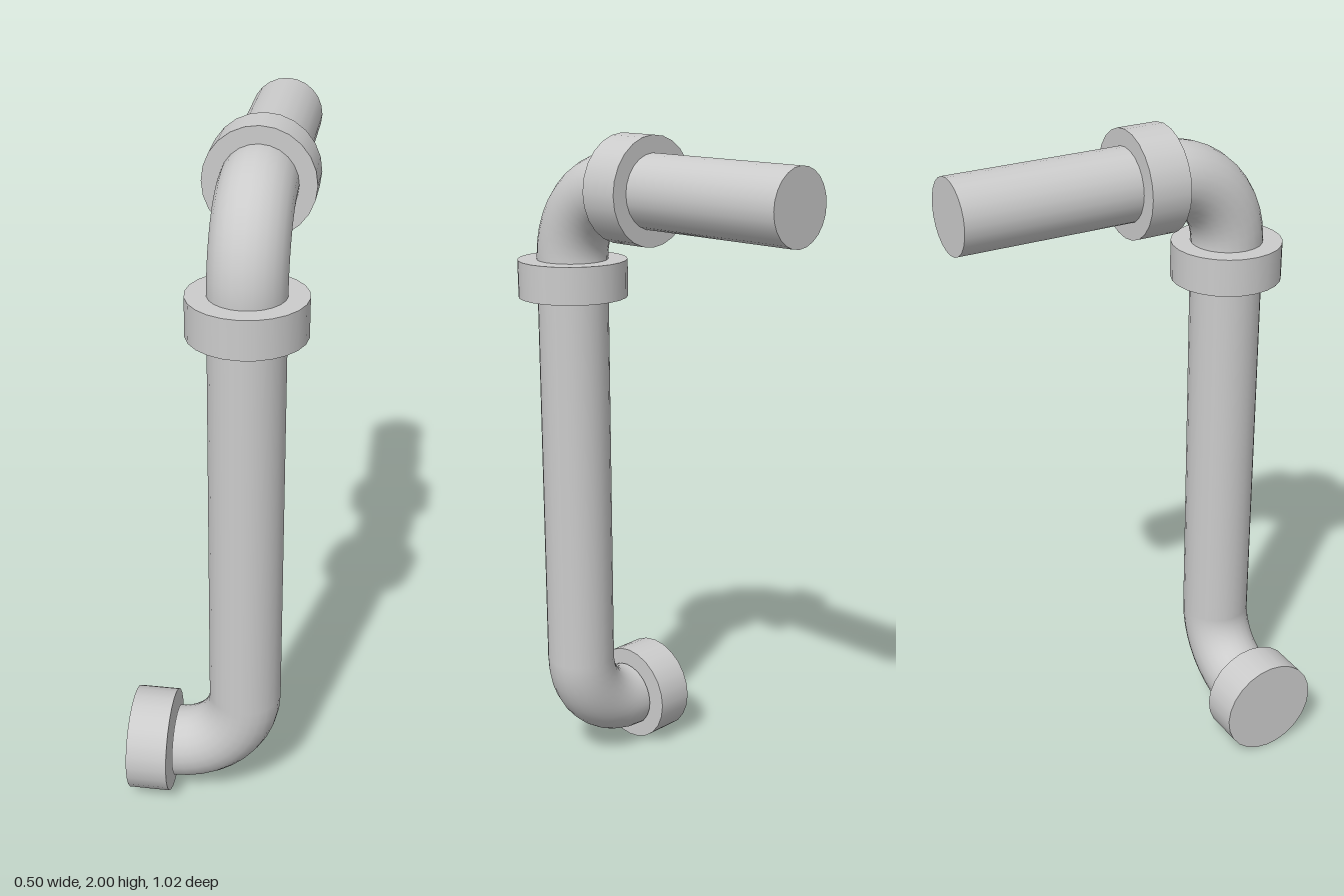
import * as THREE from 'three';

const SIDES = 24;
const PIPE_R = 0.105;
const X = 0.085, Z = 0.345; // axis of the upright pipe
const LOW_Y = 0.155, TOP_Y = 1.85; // axes of the side outlet and the top pipe

export function createModel() {
  const group = new THREE.Group();
  const material = new THREE.MeshStandardMaterial({ color: 0xcccccc });

  const add = (name, geometry) => {
    const mesh = new THREE.Mesh(geometry, material);
    mesh.name = name;
    group.add(mesh);
    return mesh;
  };

  // Closed cylinder running between two points
  const rod = (name, radius, from, to) => {
    const a = new THREE.Vector3(...from), b = new THREE.Vector3(...to);
    const dir = b.clone().sub(a);
    const mesh = add(name, new THREE.CylinderGeometry(radius, radius, dir.length(), SIDES));
    mesh.position.copy(a).add(b).multiplyScalar(0.5);
    mesh.quaternion.setFromUnitVectors(new THREE.Vector3(0, 1, 0), dir.normalize());
  };

  // Quarter-turn elbow around a centre
  const elbow = (name, radius, centre, rotation) => {
    const mesh = add(name, new THREE.TorusGeometry(radius, PIPE_R, SIDES, 10, Math.PI / 2));
    mesh.position.set(...centre);
    mesh.rotation.set(...rotation);
  };

  // Straight pipes
  rod('uprightPipe', PIPE_R, [X, 0.36, Z], [X, 1.635, Z]);
  rod('topPipe', PIPE_R, [X, TOP_Y, 0.13], [X, TOP_Y, -0.51]);

  // Elbows
  elbow('lowerElbow', 0.205, [X - 0.205, 0.36, Z], [0, 0, -Math.PI / 2]);
  elbow('upperElbow', 0.215, [X, TOP_Y - 0.215, Z - 0.215], [0, -Math.PI / 2, 0]);

  // Collars
  rod('outletCollar', 0.153, [-0.25, LOW_Y, Z], [-0.13, LOW_Y, Z]);
  rod('uprightCollar', 0.162, [X, 1.52, Z], [X, 1.63, Z]);
  rod('topCollar', 0.153, [X, TOP_Y, 0.01], [X, TOP_Y, 0.13]);

  return group;
}
